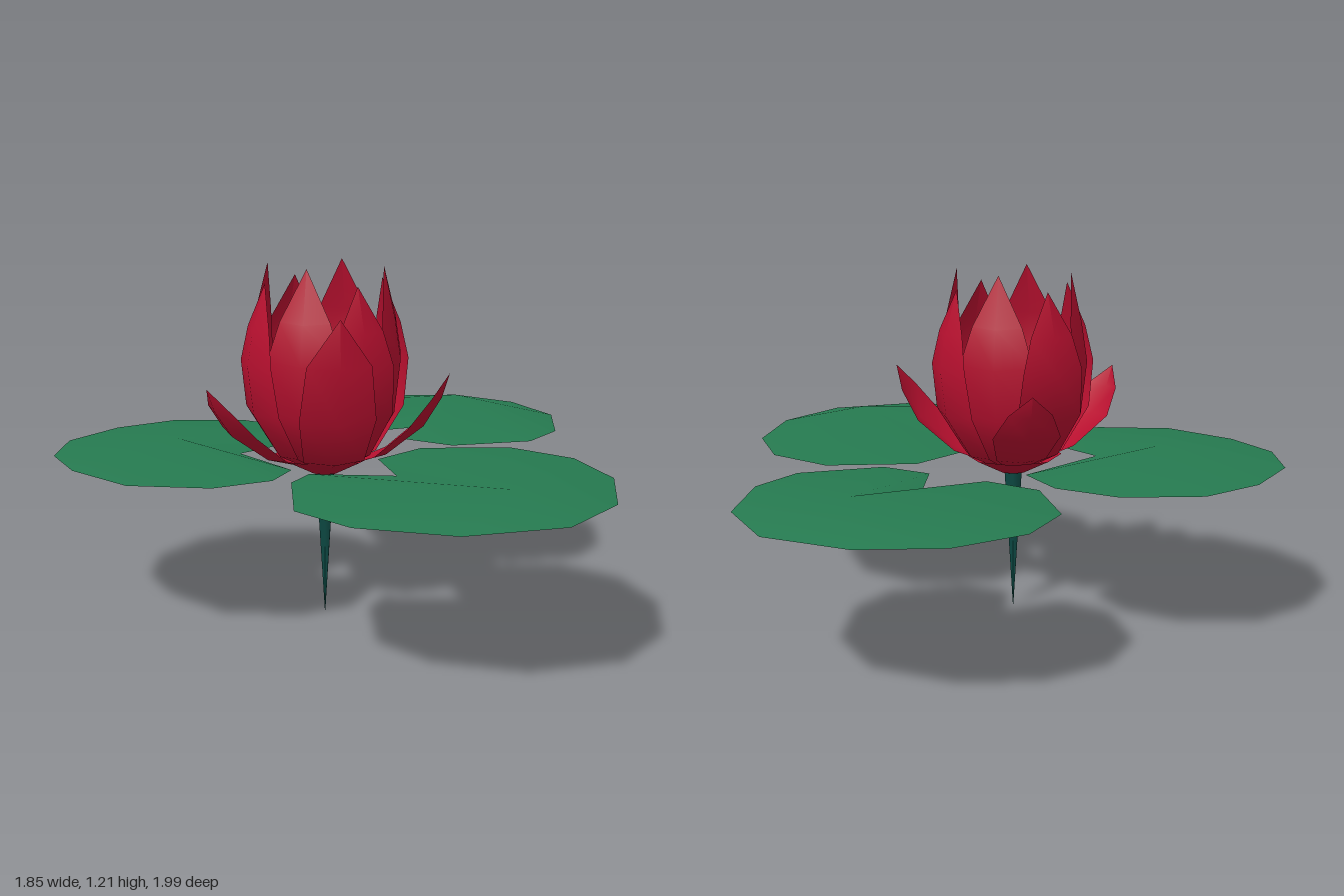
import * as THREE from 'three';

const CX = -0.01, CZ = 0.075; // flower axis

const mat = (name, color, side = THREE.FrontSide) => {
  const m = new THREE.MeshStandardMaterial({ color, side });
  m.name = name;
  return m;
};

function surface(positions, index) {
  const g = new THREE.BufferGeometry();
  g.setAttribute('position', new THREE.Float32BufferAttribute(positions, 3));
  g.setIndex(index);
  g.computeVertexNormals();
  return g;
}

// Petal lofted outwards along +z from rows of [radius, height, half width]; edges cup inwards
function petalGeometry(rows, cup = 0.25) {
  const pos = [], idx = [];
  rows.forEach(([r, y, w], i) => {
    for (const s of [-1, 0, 1]) pos.push(s * w, y + (s ? w * 0.08 : 0), r - (s ? w * cup : 0));
    if (!i) return;
    for (let k = 0; k < 2; k++) {
      const a = (i - 1) * 3 + k, b = i * 3 + k;
      idx.push(a, a + 1, b, a + 1, b + 1, b);
    }
  });
  return surface(pos, idx);
}

// Lily pad: notched outline, shallow peak on top, flat underside
const RIM = 0.555;
function pad(name, outline, peak, topMat, underMat) {
  const group = new THREE.Group();
  group.name = name;
  const n = outline.length;
  const rim = outline.flatMap(([x, z]) => [x, RIM, z]);
  const up = [], down = [];
  for (let i = 0; i < n; i++) {
    const j = (i + 1) % n;
    up.push(n, j, i);
    down.push(n, i, j);
  }
  const top = new THREE.Mesh(surface([...rim, ...peak], up), topMat);
  top.name = 'padTop';
  const under = new THREE.Mesh(surface([...rim, peak[0], RIM, peak[2]], down), underMat);
  under.name = 'padUnderside';
  group.add(top, under);
  return group;
}

export function createModel() {
  const model = new THREE.Group();
  model.name = 'waterLily';
  const green = mat('leaf green', 0x267a50);
  const teal = mat('dark teal', 0x0c4a44);
  const red = mat('petal red', 0xb8102f, THREE.DoubleSide);
  const purple = mat('inner purple', 0x5c1238, THREE.DoubleSide);
  const yellow = mat('pollen yellow', 0xb8a020);

  // Floating pads
  model.add(
    pad('backPad', [[0.44, -1], [0.71, -0.88], [0.84, -0.63], [0.82, -0.34], [0.71, -0.17],
      [0.43, -0.09], [0.27, -0.18], [0.28, -0.37], [0.08, -0.28], [-0.09, -0.39],
      [-0.15, -0.66], [-0.05, -0.86], [0.17, -0.99]], [0.47, 0.62, -0.69], green, teal),
    pad('frontPad', [[0.63, -0.07], [0.83, 0.08], [0.92, 0.34], [0.88, 0.65], [0.71, 0.89],
      [0.4, 0.99], [0.1, 0.92], [-0.07, 0.76], [-0.1, 0.44], [-0.05, 0.33],
      [0.23, 0.34], [0.17, 0.12], [0.32, -0.05]], [0.58, 0.605, 0.68], green, teal),
    pad('rightPad', [[-0.61, -0.47], [-0.34, -0.48], [-0.14, -0.37], [-0.05, -0.2], [-0.3, 0.06],
      [-0.11, 0.28], [-0.16, 0.42], [-0.34, 0.52], [-0.61, 0.5], [-0.82, 0.32],
      [-0.93, 0.12], [-0.93, -0.11], [-0.8, -0.33]], [-0.52, 0.6, 0.03], green, teal));

  const flower = new THREE.Group();
  flower.name = 'flower';
  flower.position.set(CX, 0, CZ);
  model.add(flower);
  const add = (name, geometry, material, y = 0, angle = 0) => {
    const m = new THREE.Mesh(geometry, material);
    m.name = name;
    m.position.y = y;
    m.rotation.y = angle;
    flower.add(m);
    return m;
  };

  // Tapering stem and the cup that holds the petals
  add('stem', new THREE.CylinderGeometry(0.036, 0.001, 0.52, 6), teal, 0.26);
  add('cup', new THREE.CylinderGeometry(0.17, 0.05, 0.06, 8, 1, true), red, 0.53);
  add('cupBase', new THREE.CircleGeometry(0.05, 8).rotateX(Math.PI / 2), red, 0.5);

  // Two upright rings of four petals and a short purple ring inside
  const tall = petalGeometry([[0.03, 0.5, 0.03], [0.16, 0.58, 0.09], [0.24, 0.72, 0.125],
    [0.26, 0.9, 0.125], [0.24, 1.03, 0.085], [0.2, 1.205, 0]]);
  const second = petalGeometry([[0.03, 0.5, 0.03], [0.17, 0.57, 0.09], [0.265, 0.72, 0.125],
    [0.285, 0.88, 0.115], [0.265, 1, 0.08], [0.22, 1.15, 0]]);
  const short = petalGeometry([[0.05, 0.54, 0.03], [0.13, 0.6, 0.07], [0.18, 0.7, 0.06], [0.18, 0.78, 0]]);
  for (let i = 0; i < 4; i++) {
    const a = i * Math.PI / 2 - 0.25;
    add('tallPetal', tall, red, 0, a);
    add('secondPetal', second, red, 0, a + Math.PI / 4);
    add('innerPetal', short, purple, 0, a);
    add('innerPetal', short, purple, 0, a + Math.PI / 4);
  }

  // Opened outer petals: direction in x and z, then reach and tip height
  const openPetals = [[-0.36, 0.26, 0.45, 0.83], [0.4, 0.1, 0.425, 0.86], [-0.06, -0.34, 0.35, 0.83]];
  for (const [x, z, reach, tip] of openPetals) {
    const rise = tip - 0.53;
    add('openPetal', petalGeometry([[0.06, 0.52, 0.03], [reach * 0.5, 0.53 + rise * 0.13, 0.085],
      [reach * 0.8, 0.53 + rise * 0.45, 0.115], [reach * 0.94, 0.53 + rise * 0.75, 0.075],
      [reach, tip, 0]]), red, 0, Math.atan2(x, z));
  }
  add('frontPetal', petalGeometry([[0.06, 0.52, 0.04], [0.21, 0.57, 0.1], [0.295, 0.72, 0.125],
    [0.318, 0.9, 0.105], [0.31, 1.06, 0]]), red, 0, 0.2);

  // Leaning pollen cone at the heart
  const cone = new THREE.ConeGeometry(0.085, 0.24, 6);
  const shear = new THREE.Matrix4().set(1, 0, 0, 0, 0, 1, 0, 0, 0, -0.2, 1, 0, 0, 0, 0, 1);
  add('pollenCone', cone.applyMatrix4(shear), yellow, 0.68);

  return model;
}
